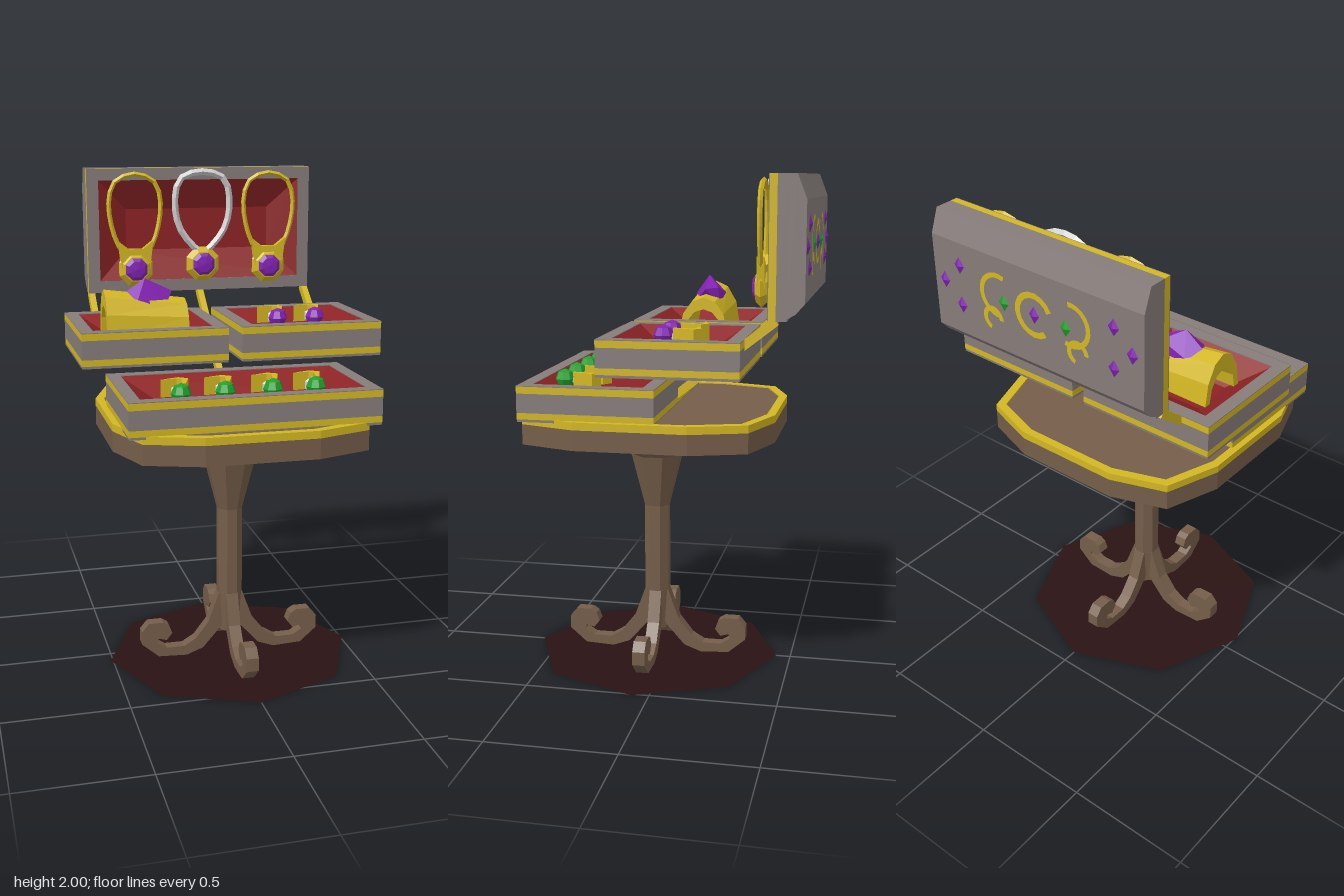
import * as THREE from 'three';
import { ConvexGeometry } from 'three/addons/geometries/ConvexGeometry.js';

const mat = (name, color) => {
  const m = new THREE.MeshStandardMaterial({ color, flatShading: true, side: THREE.DoubleSide });
  m.name = name;
  return m;
};

export function createModel() {
  const wood = mat('wood', 0x755d49), gold = mat('gold', 0xd2b622), grey = mat('grey', 0x867c7a);
  const red = mat('red velvet', 0x8e2325), purple = mat('purple gem', 0x8422b4);
  const green = mat('green gem', 0x1fa02c), silver = mat('silver', 0xcfcfcf), dark = mat('dark base', 0x2a1213);
  const model = new THREE.Group();
  model.name = 'jewelleryStand';
  const TZ = 0.07; // table centre

  const add = (name, geo, material, parent = model, x = 0, y = 0, z = 0) => {
    const m = new THREE.Mesh(geo, material);
    m.name = name;
    m.position.set(x, y, z);
    parent.add(m);
    return m;
  };
  const shapeOf = pts => new THREE.Shape(pts.map(p => new THREE.Vector2(p[0], p[1])));
  const extrude = (shape, depth) => new THREE.ExtrudeGeometry(shape, { depth, bevelEnabled: false });
  // Upright extrusion of a plan outline, with an optional hole
  const slab = (pts, hole, y0, y1) => {
    const s = shapeOf(pts);
    if (hole) s.holes.push(new THREE.Path(hole.map(p => new THREE.Vector2(p[0], p[1]))));
    return extrude(s, y1 - y0).rotateX(-Math.PI / 2).translate(0, y0, 0);
  };
  // Extrusion along x of a side profile given as [z, y]
  const sideProfile = (pts, x0, x1) =>
    extrude(shapeOf(pts.map(([z, y]) => [-z, y])), x1 - x0).rotateY(Math.PI / 2).translate(x0, 0, 0);
  const rect = (w, d) => [[-w / 2, -d / 2], [w / 2, -d / 2], [w / 2, d / 2], [-w / 2, d / 2]];

  // Base sheet
  add('basePlate', new THREE.CircleGeometry(0.51, 8).rotateX(-Math.PI / 2), dark, model, 0, 0.001, TZ);

  // Pedestal
  const column = [[0.045, 0.1], [0.054, 0.27], [0.054, 0.64], [0.11, 0.86], [0.2, 0.97]];
  add('pedestal', new THREE.LatheGeometry(column.map(p => new THREE.Vector2(...p)), 8, Math.PI / 8), wood, model, 0, 0, TZ);

  // Four scrolled feet
  const foot = shapeOf([[0, 0.3], [0.05, 0.27], [0.095, 0.145], [0.15, 0.075], [0.2, 0.045], [0.275, 0.045],
    [0.315, 0.07], [0.31, 0.09], [0.275, 0.08], [0.252, 0.11], [0.265, 0.145], [0.29, 0.16], [0.35, 0.16],
    [0.38, 0.125], [0.38, 0.07], [0.31, 0.01], [0.19, 0.004], [0.12, 0.03], [0.04, 0.12], [0, 0.2]]);
  for (let i = 0; i < 4; i++) {
    add('foot', extrude(foot, 0.05).translate(0, 0, -0.025), wood, model, 0, 0, TZ).rotation.y = i * Math.PI / 2;
  }

  // Table: hollow wooden rim, gold edging and a thin top
  const plan = k => {
    const quarter = [[0.515, -0.22], [0.515, 0.22], [0.44, 0.44]], out = [];
    for (let q = 0; q < 4; q++) {
      for (const [x, y] of quarter) {
        const c = [1, 0, -1, 0][q], s = [0, 1, 0, -1][q];
        out.push([(x * c - y * s) * k, (x * s + y * c) * k]);
      }
    }
    return out;
  };
  add('tableRim', slab(plan(1), plan(0.935), 0.97, 1.05), wood, model, 0, 0, TZ);
  add('tableEdging', slab(plan(1), plan(0.935), 1.05, 1.08), gold, model, 0, 0, TZ);
  add('tableTop', slab(plan(0.94), null, 1.07, 1.075), wood, model, 0, 0, TZ);

  // Tray open towards +y: banded walls, border face and a sloping velvet lining
  const tray = (name, w, d, bands, border, depth, bottom) => {
    const g = new THREE.Group();
    g.name = name;
    const outer = rect(w, d), iw = w - 2 * border, id = d - 2 * border, hole = rect(iw, id);
    const top = bands[bands.length - 1][2];
    for (const [m, a, b] of bands) add(name + 'Wall', slab(outer, hole, a, b), m, g);
    add(name + 'Border', slab(outer, hole, top, top + 0.003), grey, g);
    if (bottom) add(name + 'Bottom', slab(rect(w - 0.002, d - 0.002), null, -0.01, 0.002), grey, g);
    const v = [], idx = [4, 7, 6, 4, 6, 5];
    for (const [x, z] of hole) v.push(x, top, z);
    for (const [x, z] of rect(iw - 0.25, id - 0.25)) v.push(x, top - depth, z);
    for (let i = 0; i < 4; i++) {
      const j = (i + 1) % 4;
      idx.push(i, i + 4, j + 4, i, j + 4, j);
    }
    const geo = new THREE.BufferGeometry();
    geo.setAttribute('position', new THREE.Float32BufferAttribute(v, 3));
    geo.setIndex(idx);
    const flat = geo.toNonIndexed();
    flat.computeVertexNormals();
    add(name + 'Lining', flat, red, g);
    model.add(g);
    return g;
  };
  const walls = [[gold, 0, 0.025], [grey, 0.025, 0.1], [gold, 0.1, 0.127]];
  tray('lowerTray', 0.98, 0.535, walls, 0.052, 0.08, true).position.set(0, 1.079, 0.248);
  for (const s of [-1, 1]) {
    tray('upperTray', 0.58, 0.532, walls, 0.052, 0.08, true).position.set(s * 0.318, 1.28, -0.093);
  }

  // Lid: open frame facing forward with a chamfered back
  const lid = tray('lid', 0.98, 0.525, [[grey, 0, 0.04], [gold, 0.04, 0.068]], 0.05, 0.062, false);
  lid.rotation.x = Math.PI / 2;
  lid.position.set(0, 1.7375, -0.51);
  add('lidBack', sideProfile([[-0.51, 2], [-0.54, 2], [-0.575, 1.91], [-0.575, 1.54], [-0.54, 1.5], [-0.51, 1.485]],
    -0.49, 0.49), grey);

  // Gems and flat scrolls on the lid back
  const backGem = (x, y, m) => add('lidGem', new THREE.OctahedronGeometry(1).scale(0.024, 0.034, 0.011), m, model, x, y, -0.575);
  backGem(0, 1.74, purple);
  for (const s of [-1, 1]) {
    backGem(s * 0.145, 1.74, green);
    backGem(s * 0.44, 1.74, purple);
    backGem(s * 0.36, 1.82, purple);
    backGem(s * 0.36, 1.66, purple);
  }
  const scroll = (x, y, r, w, start, len) => add('lidScroll',
    new THREE.RingGeometry(r - w, r, 14, 1, start, len).rotateY(Math.PI), gold, model, x, y, -0.577);
  scroll(0, 1.74, 0.09, 0.024, 0.4, 5);
  for (const s of [-1, 1]) {
    scroll(s * 0.17, 1.76, 0.09, 0.02, s > 0 ? 1.2 : -1.9, 3.6);
    scroll(s * 0.2, 1.66, 0.05, 0.02, 0, 4.4);
  }

  // Hinge arms
  const arm = (x, a, b) => {
    const dz = b[0] - a[0], dy = b[1] - a[1];
    add('hingeArm', new THREE.BoxGeometry(0.026, 0.034, Math.hypot(dz, dy)), gold, model,
      x, (a[1] + b[1]) / 2, (a[0] + b[0]) / 2).rotation.x = -Math.atan2(dy, dz);
  };
  arm(0, [0, 1.1], [-0.47, 1.475]);
  for (const s of [-1, 1]) arm(s * 0.477, [-0.33, 1.365], [-0.47, 1.475]);

  // Cuff bracelet, tapering towards one end
  const arc = (rz, ry) => Array.from({ length: 7 }, (_, i) => {
    const t = Math.PI * i / 6;
    return [rz * Math.cos(t), ry * Math.sin(t)];
  });
  const cuff = sideProfile([...arc(0.105, 0.18), ...arc(0.078, 0.115).reverse()], -0.48, -0.147);
  const cp = cuff.attributes.position;
  for (let i = 0; i < cp.count; i++) {
    if (cp.getX(i) > -0.3) {
      cp.setY(i, cp.getY(i) * 0.76);
      cp.setZ(i, cp.getZ(i) * 0.94);
    }
  }
  cuff.computeVertexNormals();
  add('bracelet', cuff, gold, model, 0, 1.358, -0.095);
  add('braceletGem', new ConvexGeometry([[-0.41, 1.51, -0.1], [-0.35, 1.5, -0.16], [-0.35, 1.5, -0.035],
    [-0.31, 1.578, -0.095], [-0.23, 1.53, -0.145], [-0.24, 1.46, -0.04], [-0.24, 1.46, -0.15], [-0.2, 1.525, -0.095]]
    .map(p => new THREE.Vector3(...p))), purple);

  // Earrings: folded gold hook, silver cap and round gem
  const hook = [[-0.055, -0.265], [0.02, -0.235], [0.055, -0.262], [0.028, -0.345], [0.012, -0.345], [0.026, -0.268], [0.01, -0.258]];
  const earring = (x, dy, dz, gem) => {
    const g = new THREE.Group();
    g.name = 'earring';
    g.position.set(x, dy, dz);
    add('earringHook', slab(hook, null, 1.165, 1.235), gold, g);
    add('earringCap', new THREE.ConeGeometry(0.032, 0.03, 6).rotateX(Math.PI / 2), silver, g, 0, 1.2, 0.35);
    add('earringGem', new THREE.SphereGeometry(0.04, 8, 4), gem, g, 0, 1.205, 0.385);
    model.add(g);
  };
  for (const x of [-0.267, -0.095, 0.092, 0.264]) earring(x, 0, 0, green);
  for (const x of [0.235, 0.395]) earring(x, 0.2, -0.425, purple);

  // Necklaces hanging in front of the lid
  const necklace = (x, half, radius, m, horned) => {
    const g = new THREE.Group();
    g.name = 'necklace';
    g.position.set(x, 0, -0.397);
    const pts = [...half, ...half.slice(1, -1).reverse().map(([a, b]) => [-a, b])].map(([a, b]) => new THREE.Vector3(a, b, 0));
    add('necklaceChain', new THREE.TubeGeometry(new THREE.CatmullRomCurve3(pts, true), 20, radius, 4, true), m, g);
    const py = horned ? 1.58 : 1.595;
    add('pendant', new THREE.SphereGeometry(0.078, 8, 4).rotateX(Math.PI / 2).rotateZ(Math.PI / 8).scale(1, 1, 0.42), gold, g, 0, py, 0);
    if (horned) {
      add('pendantBail', extrude(shapeOf([[-0.06, 0], [0.06, 0], [0.075, 0.12], [0.03, 0.085], [-0.03, 0.085], [-0.075, 0.12]]), 0.03),
        gold, g, 0, py, -0.015);
    }
    add('pendantGem', new THREE.SphereGeometry(0.05, 8, 4).rotateX(Math.PI / 2).rotateZ(Math.PI / 8).scale(1, 1, 0.3), purple, g, 0, py, 0.025);
    model.add(g);
  };
  necklace(0, [[0, 1.985], [0.095, 1.955], [0.12, 1.86], [0.1, 1.75], [0.04, 1.67], [0, 1.64]], 0.014, silver, false);
  for (const s of [-1, 1]) {
    necklace(s * 0.293, [[0, 1.978], [0.085, 1.945], [0.11, 1.87], [0.1, 1.76], [0.06, 1.66], [0, 1.62]], 0.01, gold, true);
  }
  return model;
}
